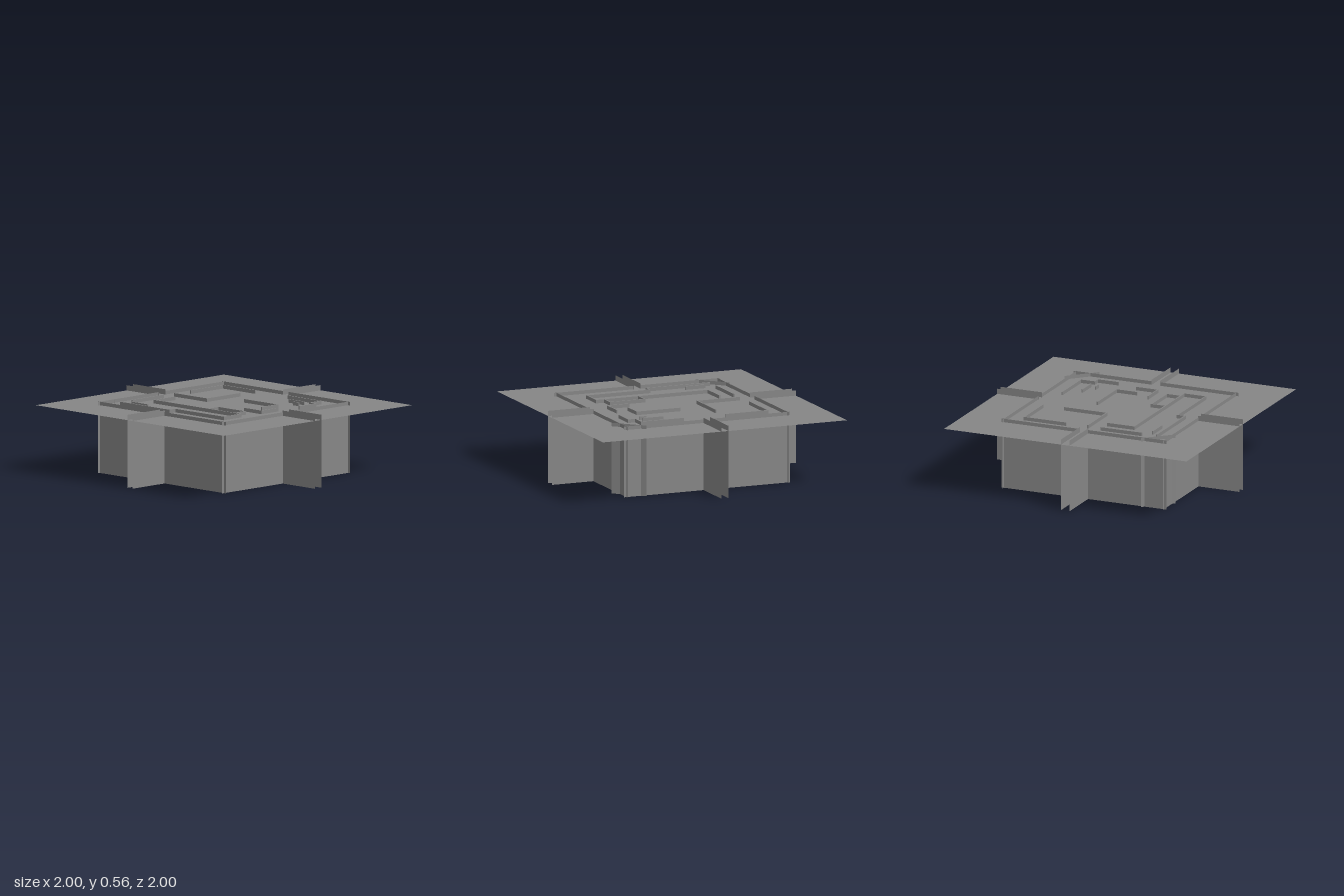
import * as THREE from 'three';

const mat = new THREE.MeshStandardMaterial({ color: 0x868686, side: THREE.DoubleSide, flatShading: true });
const WALL_TOP = 0.543, CHANNEL_TOP = 0.556, PLATE_Y = 0.516, THICK = 0.01;
const WALL = 0.66, WALL_END = 0.68;      // outer wall position and its overhanging end
const SIDE_GAP = 0.028, END_GAP = 0.035; // half widths of the entrances

export function createModel() {
  const model = new THREE.Group();

  function group(name) {
    const g = new THREE.Group();
    g.name = name;
    model.add(g);
    return g;
  }

  // Vertical thin sheet between two plan points
  function sheet(parent, name, x1, z1, x2, z2, height) {
    const mesh = new THREE.Mesh(new THREE.PlaneGeometry(Math.hypot(x2 - x1, z2 - z1), height), mat);
    mesh.name = name;
    mesh.position.set((x1 + x2) / 2, height / 2, (z1 + z2) / 2);
    mesh.rotation.y = -Math.atan2(z2 - z1, x2 - x1);
    parent.add(mesh);
  }

  // Run of thick, axis-aligned walls through plan points
  function wallRun(parent, points) {
    for (let i = 1; i < points.length; i++) {
      const [x1, z1] = points[i - 1], [x2, z2] = points[i];
      const geo = new THREE.BoxGeometry(Math.abs(x2 - x1) + THICK, WALL_TOP, Math.abs(z2 - z1) + THICK);
      const mesh = new THREE.Mesh(geo, mat);
      mesh.name = 'innerWall';
      mesh.position.set((x1 + x2) / 2, WALL_TOP / 2, (z1 + z2) / 2);
      parent.add(mesh);
    }
  }

  // Horizontal plate cut by all the walls
  const plate = new THREE.Mesh(new THREE.PlaneGeometry(2, 2), mat);
  plate.name = 'plate';
  plate.rotation.x = -Math.PI / 2;
  plate.position.y = PLATE_Y;
  model.add(plate);

  // Outer walls crossing at the corners, and paired entrance sheets on each side
  const outer = group('outerWalls');
  const entrances = group('entranceChannels');
  for (const a of [-1, 1]) {
    for (const b of [-1, 1]) {
      sheet(outer, 'sideWall', a * WALL, b * SIDE_GAP, a * WALL, b * WALL_END, WALL_TOP);
      sheet(outer, 'endWall', b * END_GAP, a * WALL, b * WALL_END, a * WALL, WALL_TOP);
      sheet(entrances, 'sideChannel', a * 0.655, b * SIDE_GAP, a, b * SIDE_GAP, CHANNEL_TOP);
      sheet(entrances, 'endChannel', b * END_GAP, a * 0.655, b * END_GAP, a, CHANNEL_TOP);
    }
  }

  // Diagonal walls across two opposite corners
  sheet(outer, 'cornerWall', 0.49, 0.71, 0.69, 0.51, WALL_TOP);
  sheet(outer, 'cornerWall', -0.68, -0.49, -0.48, -0.68, WALL_TOP);

  // Maze of inner walls
  const maze = group('innerWalls');
  const runs = [
    [[-0.55, -0.545], [-0.55, -0.03], [-0.488, -0.03], [-0.488, 0.485], [-0.31, 0.485], [-0.31, -0.43], [-0.095, -0.43]],
    [[-0.425, -0.55], [-0.095, -0.55]],
    [[-0.488, -0.48], [-0.488, -0.325]],
    [[-0.31, 0.14], [-0.197, 0.14], [-0.197, 0.42], [-0.31, 0.42]],
    [[0.02, -0.54], [0.02, -0.2], [0.365, -0.2]],
    [[0.2, -0.55], [0.542, -0.55], [0.542, -0.21]],
    [[0.197, 0.025], [0.197, 0.372], [0.03, 0.372]],
    [[-0.09, 0.315], [-0.09, 0.488], [0.08, 0.488]],
    [[0.37, 0.375], [0.37, 0.42]],
    [[0.43, 0.265], [0.43, 0.42]],
    [[0.542, 0.145], [0.542, 0.486], [0.43, 0.486], [0.43, 0.543], [0.26, 0.543]],
  ];
  runs.forEach(points => wallRun(maze, points));

  return model;
}
